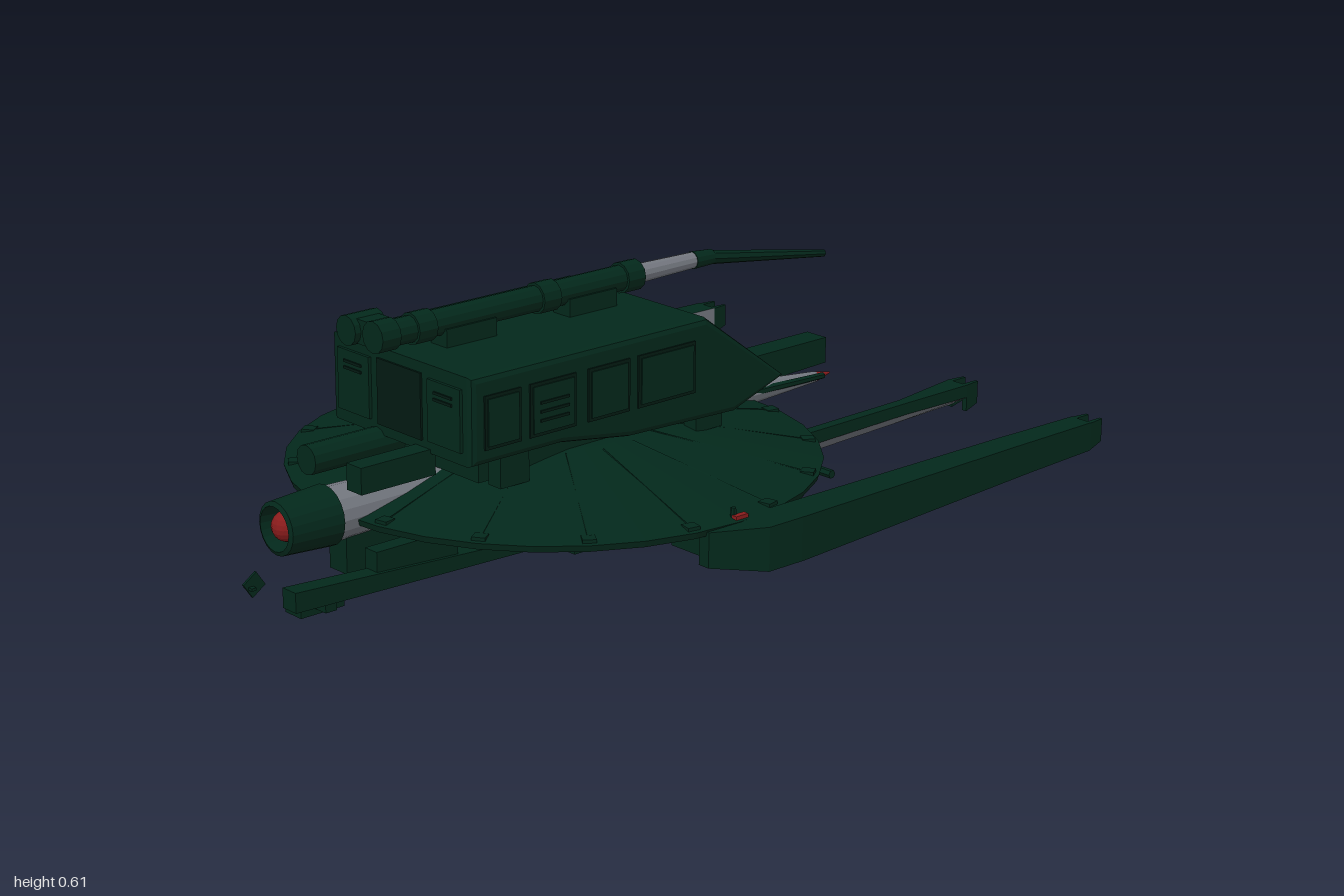
import * as THREE from 'three';

const paint = (name, color) => new THREE.MeshStandardMaterial({ name, color, flatShading: true, side: THREE.DoubleSide });

export function createModel() {
  const root = new THREE.Group();
  const green = paint('hull green', 0x03281b);
  const dark = paint('dark green', 0x021a12);
  const grey = paint('bare grey', 0x73777f);
  const red = paint('lamp red', 0x8a1c1c);

  const add = (name, geo, mat, x = 0, y = 0, z = 0) => {
    const m = new THREE.Mesh(geo, mat);
    m.name = name;
    m.position.set(x, y, z);
    root.add(m);
    return m;
  };
  const box = (name, mat, x, y, z, w, h, d) => add(name, new THREE.BoxGeometry(w, h, d), mat, x, y, z);

  // Round rod between two points, r0 at the start and r1 at the end
  const rod = (name, mat, a, b, r0, r1, sides = 12) => {
    const p = new THREE.Vector3(...a), q = new THREE.Vector3(...b);
    const m = add(name, new THREE.CylinderGeometry(r1, r0, p.distanceTo(q), sides), mat);
    m.position.copy(p).lerp(q, 0.5);
    m.quaternion.setFromUnitVectors(new THREE.Vector3(0, 1, 0), q.sub(p).normalize());
    return m;
  };

  // Sections [x, y, z, width, height, cut, raise] joined from front to back.
  // cut moves a top corner inward (+x corner if positive, -x corner if negative),
  // raise lifts the lower +x corner; bare lists the grey sides (0 under, 1 +x, 2 top, 3 -x)
  const loft = (name, mat, sections, bare = []) => {
    const pos = [], idx = [];
    const g = new THREE.BufferGeometry();
    for (const [x, y, z, w, h, cut = 0, raise = 0] of sections)
      for (const [i, j] of [[-1, -1], [1, -1], [1, 1], [-1, 1]])
        pos.push(x + i * w / 2 - (j > 0 && i * cut > 0 ? cut : 0), y + j * h / 2 + (i > 0 && j < 0 ? raise : 0), z);
    const last = (sections.length - 1) * 4;
    for (let s = 0; s < last; s += 4)
      for (let j = 0; j < 4; j++) {
        const k = (j + 1) % 4;
        g.addGroup(idx.length, 6, s > 4 && bare.includes(j) ? 1 : 0);
        idx.push(s + j, s + 4 + j, s + 4 + k, s + j, s + 4 + k, s + k);
      }
    g.addGroup(idx.length, 12, 0);
    idx.push(0, 1, 2, 0, 2, 3, last, last + 2, last + 1, last, last + 3, last + 2);
    g.setAttribute('position', new THREE.Float32BufferAttribute(pos, 3));
    g.setIndex(idx);
    g.computeVertexNormals();
    return add(name, g, [mat, grey]);
  };

  // Shallow saucer, hollow underneath
  const saucer = [[0, 0.235], [0.3, 0.225], [0.57, 0.195], [0.6, 0.195], [0.605, 0.21], [0.4, 0.25], [0.2, 0.285], [0, 0.29]];
  add('saucer', new THREE.LatheGeometry(saucer.map(p => new THREE.Vector2(...p)), 32), green, 0, 0, 0.12);
  for (let i = 0; i < 16; i++) {
    const a = (i + 0.5) / 16 * Math.PI * 2, c = Math.cos(a), s = Math.sin(a);
    rod('saucerRib', green, [c * 0.22, 0.281, 0.12 + s * 0.22], [c * 0.59, 0.212, 0.12 + s * 0.59], 0.003, 0.003, 4);
    box('rimLatch', green, c * 0.58, 0.212, 0.12 + s * 0.58, 0.03, 0.015, 0.03).rotation.y = -a;
  }

  // Cross beam beneath the saucer
  box('crossBeam', green, 0, 0.155, 0.05, 0.86, 0.09, 0.09);

  // Outer arms; the right one has a bare inner face, leaning until near the tip
  for (const s of [-1, 1]) {
    const cut = s < 0 ? 0.055 : 0;
    loft('outerArm', green, [
      [s * 0.585, 0.165, 0.21, 0.03, 0.08], [s * 0.625, 0.16, 0.1, 0.09, 0.1],
      [s * 0.633, 0.163, 0.01, 0.088, 0.1], [s * 0.633, 0.163, 0, 0.088, 0.1, cut],
      [s * 0.631, 0.174, -0.72, 0.068, 0.075, cut * 0.85],
      [s * 0.631, 0.174, -0.74, 0.067, 0.074], [s * 0.63, 0.175, -0.95, 0.06, 0.068]], s < 0 ? [0, 1] : []);
  }

  // Inner arms: square-ended on the right, forked with bare sloping faces on the left
  loft('innerArmRight', green, [
    [-0.26, 0.158, 0.1, 0.07, 0.09], [-0.26, 0.165, -0.3, 0.07, 0.085], [-0.26, 0.175, -0.98, 0.066, 0.066]]);
  loft('innerArmLeft', green, [
    [0.245, 0.158, 0.1, 0.07, 0.09], [0.245, 0.16, 0, 0.07, 0.09], [0.245, 0.16, -0.02, 0.07, 0.09, -0.045, 0.055],
    [0.245, 0.172, -0.74, 0.063, 0.073, -0.035, 0.045], [0.245, 0.175, -0.95, 0.06, 0.066, 0, 0.035]], [0, 3]);
  for (const x of [-0.63, 0.245, 0.63])
    for (const t of [-1, 1])
      loft('armTip', green, [
        [x + t * 0.023, 0.175, -0.95, 0.014, 0.066], [x + t * 0.02, 0.18, -0.995, 0.008, 0.055]]);

  for (const s of [-1, 1]) {
    box('beamShoulder', green, s * 0.51, 0.155, 0.06, 0.2, 0.095, 0.16);
    // Short rear rods and side pegs
    rod('rearRod', green, [s * 0.09, 0.15, 0.1], [s * 0.09, 0.115, -0.66], 0.012, 0.008, 6);
    rod('sidePeg', green, [s * 0.3, 0.2, -0.26], [s * 0.5, 0.2, -0.26], 0.01, 0.01, 6);
    rod('rimPost', green, [s * 0.58, 0.2, 0.12], [s * 0.58, 0.235, 0.12], 0.008, 0.006, 6);
    for (const z of [0.42, -0.15]) box('cabinFoot', green, s * 0.2, 0.3, z, 0.04, 0.08, 0.08);
  }
  box('rimLamp', red, 0.59, 0.214, 0.11, 0.014, 0.012, 0.035);

  // Central spindle: nose, bare body, tail spike
  const axis = 0.215;
  const nose = [[0.045, 0.84], [0.05, 0.895], [0.06, 0.89], [0.068, 0.76], [0.05, 0.755]];
  const noseMesh = add('noseRing', new THREE.LatheGeometry(nose.map(p => new THREE.Vector2(...p)), 20), green, 0, axis, 0);
  noseMesh.rotation.x = Math.PI / 2;
  rod('noseWell', dark, [0, axis, 0.78], [0, axis, 0.85], 0.05, 0.05, 16);
  add('noseLamp', new THREE.SphereGeometry(0.034, 14, 10), red, 0, axis, 0.862);
  rod('spindleBody', grey, [0, axis, 0.77], [0, axis, 0.28], 0.062, 0.05, 16);
  rod('spindleCore', green, [0, axis, 0.28], [0, axis, -0.4], 0.05, 0.04, 16);
  rod('spindleCollar', green, [0, axis, 0.42], [0, axis, 0.36], 0.062, 0.062, 16);
  rod('tailSpike', grey, [0, 0.225, -0.4], [0, axis, -0.71], 0.035, 0.013, 12);
  rod('tailTip', red, [0, axis, -0.71], [0, axis, -0.76], 0.013, 0.002, 12);
  rod('tailRod', green, [0.018, 0.23, -0.4], [0.018, 0.22, -0.72], 0.012, 0.008, 6);

  // Cabin with a sloped rear
  const side = new THREE.Shape([[0.54, 0.345], [0.54, 0.515], [-0.12, 0.515], [-0.35, 0.35], [-0.21, 0.305], [0.1, 0.315], [0.3, 0.345]]
    .map(p => new THREE.Vector2(...p)));
  const cabin = new THREE.ExtrudeGeometry(side, { depth: 0.45, bevelSize: 0.014, bevelThickness: 0.014, bevelSegments: 2 });
  cabin.translate(0, 0, -0.225).rotateY(-Math.PI / 2);
  add('cabin', cabin, green);
  box('cabinBase', green, 0, 0.3, 0.13, 0.34, 0.07, 0.7);

  // Cabin doors, vents and side panels
  box('frontDoor', dark, 0, 0.43, 0.556, 0.15, 0.15, 0.006);
  for (const s of [-1, 1]) {
    box('frontPanel', green, s * 0.155, 0.43, 0.557, 0.11, 0.14, 0.009);
    for (const y of [0.46, 0.475]) box('frontVent', dark, s * 0.155, y, 0.563, 0.06, 0.006, 0.005);
    for (const [z, w] of [[0.47, 0.1], [0.33, 0.13], [0.17, 0.12], [0, 0.17]]) {
      box('sideRecess', dark, s * 0.24, 0.425, z, 0.006, 0.12, w);
      box('sidePanel', green, s * 0.242, 0.425, z, 0.008, 0.105, w - 0.015);
    }
    for (const y of [0.4, 0.42, 0.44]) box('sideVent', dark, s * 0.247, y, 0.33, 0.005, 0.006, 0.08);
  }
  // Canister and block ahead of the cabin
  rod('frontCanister', green, [-0.085, 0.312, 0.745], [-0.085, 0.312, 0.5], 0.034, 0.034, 12);
  box('frontBlock', green, 0.075, 0.31, 0.64, 0.05, 0.06, 0.2);

  // Roof tube with a side sight and a drooping rear barrel
  rod('roofTube', green, [0, 0.58, 0.61], [0, 0.58, -0.12], 0.03, 0.03);
  for (const z of [0.6, 0.5, 0.15, -0.1]) rod('tubeCollar', green, [0, 0.58, z + 0.025], [0, 0.58, z - 0.025], 0.036, 0.036);
  rod('sideSight', green, [-0.08, 0.58, 0.635], [-0.08, 0.58, 0.55], 0.034, 0.034);
  box('sightBridge', green, -0.04, 0.58, 0.59, 0.08, 0.055, 0.06);
  for (const z of [0.38, 0.03]) box('tubeMount', green, 0.005, 0.545, z, 0.055, 0.05, 0.14);
  rod('bareSleeve', grey, [0, 0.58, -0.12], [0, 0.58, -0.31], 0.023, 0.019);
  rod('barrelJoint', green, [0, 0.58, -0.3], [0, 0.578, -0.36], 0.021, 0.018);
  rod('rearBarrel', green, [0, 0.578, -0.35], [0.01, 0.523, -0.72], 0.017, 0.009, 8);

  // Underslung beam, pylon and pods
  loft('lowerBeam', green, [[0.122, 0.105, 0.95, 0.045, 0.045], [0.122, 0.068, 0.1, 0.04, 0.022]]);
  box('lowerBeamFoot', green, 0.125, 0.052, 0.135, 0.05, 0.055, 0.11);
  box('lowerBeamStrut', green, 0.115, 0.125, 0.62, 0.04, 0.07, 0.22);
  box('lowerPylon', green, 0, 0.125, 0.63, 0.06, 0.09, 0.2);
  box('lowerPod', green, 0, 0.035, 0.795, 0.055, 0.05, 0.115);
  box('podSight', green, 0.045, 0.033, 0.8, 0.04, 0.018, 0.03);
  box('smallFin', green, 0.04, 0.125, 0.98, 0.006, 0.04, 0.04).rotation.x = 0.6;
  box('finBlade', green, 0.04, 0.12, 0.99, 0.03, 0.006, 0.012);

  // Belly keel and folded strut
  box('bellyKeel', green, 0, 0.15, 0.1, 0.09, 0.07, 0.34);
  rod('foldedStrut', green, [0, 0.13, -0.16], [0, 0.055, -0.29], 0.012, 0.012, 6);
  rod('foldedBrace', green, [0, 0.055, -0.29], [0, 0.12, -0.31], 0.009, 0.009, 6);
  return root;
}
